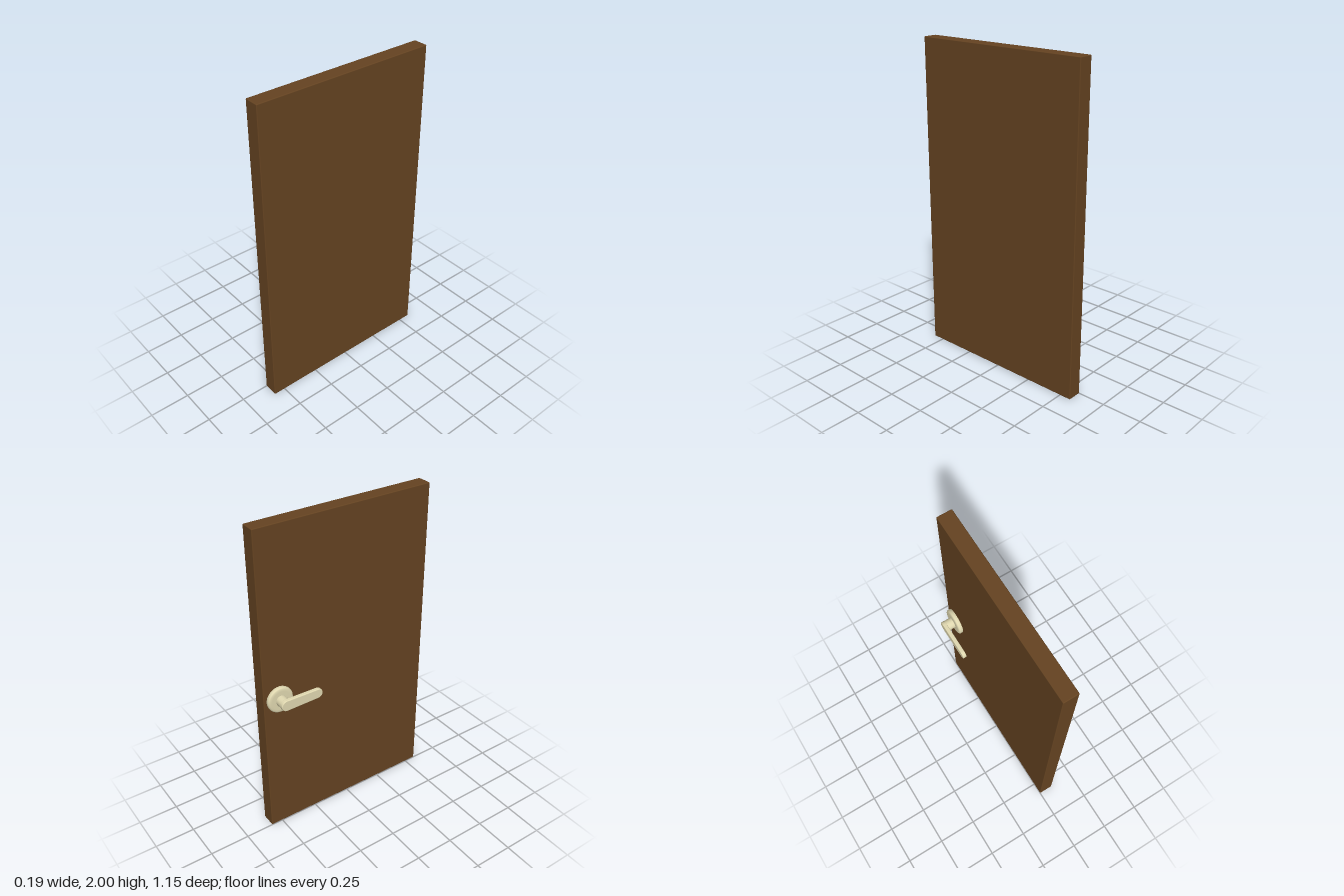
import * as THREE from 'three';
import { RoundedBoxGeometry } from 'three/addons/geometries/RoundedBoxGeometry.js';

const wood = new THREE.MeshStandardMaterial({ color: 0x654321 });
const metal = new THREE.MeshStandardMaterial({ color: 0xe0d8b0 });

function addPart(parent, name, geometry, material) {
  const mesh = new THREE.Mesh(geometry, material);
  mesh.name = name;
  parent.add(mesh);
  return mesh;
}

// Rounded paddle outline: a wide end at the pivot, a slightly narrower tip
function leverShape(length, pivotR, tipR) {
  const shape = new THREE.Shape();
  shape.absarc(0, 0, pivotR, Math.PI / 2, Math.PI * 1.5, false);
  shape.absarc(length, 0, tipR, -Math.PI / 2, Math.PI / 2, false);
  shape.closePath();
  return shape;
}

export function createModel() {
  const model = new THREE.Group();
  model.name = 'door';

  // Door leaf with slightly eased edges
  const leaf = addPart(model, 'doorLeaf', new RoundedBoxGeometry(0.092, 2, 1.15, 3, 0.005), wood);
  leaf.position.set(0.046, 1, 0);

  // Handle on the -x face; its parts share one axis
  const handle = new THREE.Group();
  handle.name = 'handle';
  handle.position.set(0, 0.94, -0.475);
  model.add(handle);

  // Round backplate with a soft rim
  const rim = [[0.08, -0.002], [0.083, 0.007], [0.083, 0.017], [0.08, 0.023], [0.074, 0.027], [0.06, 0.028], [0, 0.028]]
    .map(([r, h]) => new THREE.Vector2(r, h));
  const plate = addPart(handle, 'backplate', new THREE.LatheGeometry(rim, 48), metal);
  plate.rotation.z = Math.PI / 2;

  // Neck between backplate and lever
  const neck = addPart(handle, 'neck', new THREE.CylinderGeometry(0.034, 0.034, 0.065, 32), metal);
  neck.rotation.z = Math.PI / 2;
  neck.position.x = -0.0475;

  // Flat lever reaching toward the middle of the door
  const bevel = 0.005;
  const lever = addPart(handle, 'lever', new THREE.ExtrudeGeometry(leverShape(0.209, 0.03, 0.026), {
    depth: 0.015, bevelEnabled: true, bevelSize: bevel, bevelThickness: bevel, bevelSegments: 4, curveSegments: 24,
  }), metal);
  lever.rotation.y = -Math.PI / 2;
  lever.position.x = -0.07 - bevel;

  return model;
}
